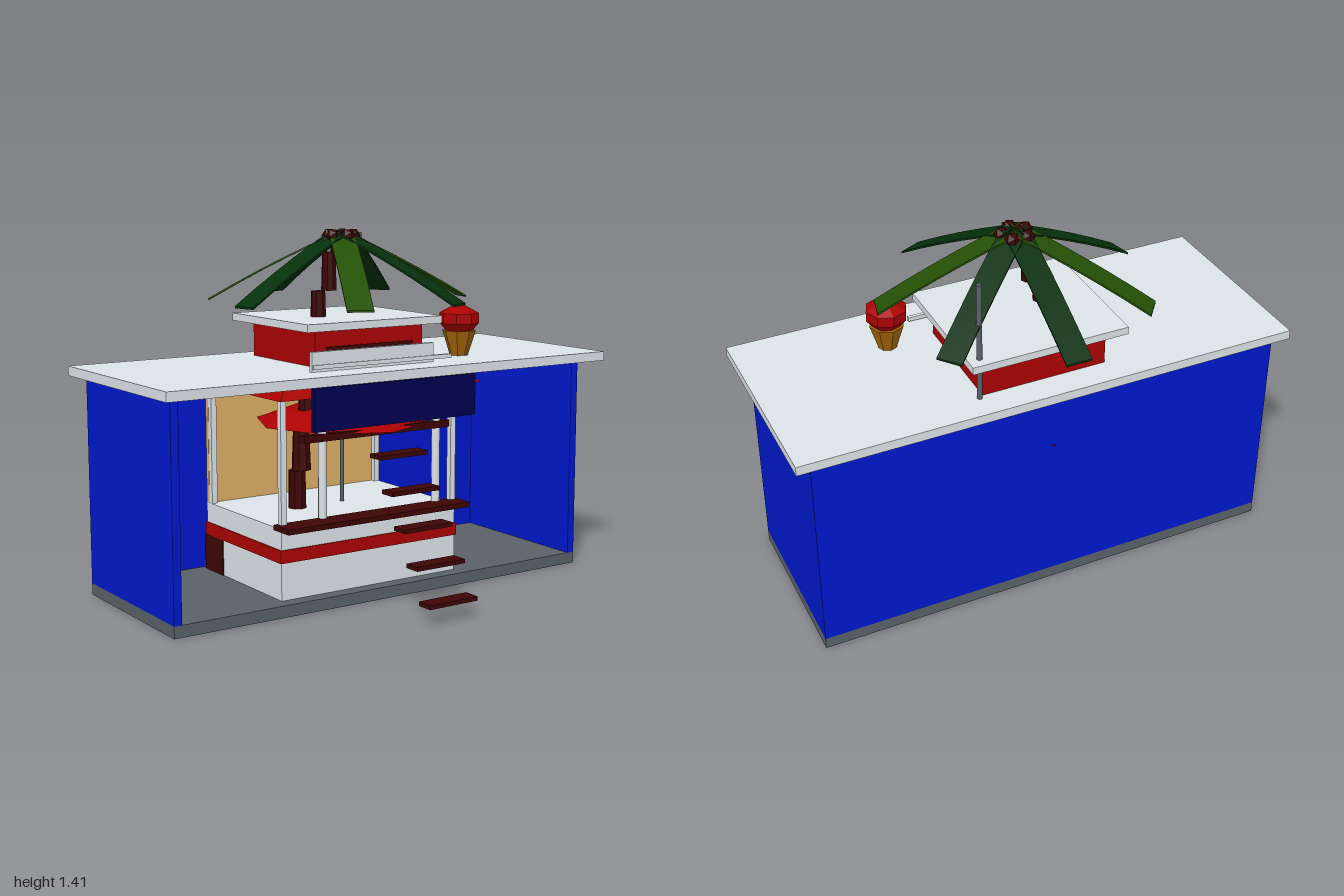
import * as THREE from 'three';

const paint = (name, color, extra = {}) =>
  Object.assign(new THREE.MeshStandardMaterial({ color, ...extra }), { name });

export function createModel() {
  const model = new THREE.Group();
  model.name = 'beachKiosk';
  const white = paint('white', 0xdde4e8);
  const blue = paint('blue', 0x0018cc);
  const grey = paint('grey', 0x596168);
  const red = paint('red', 0xac0202, { flatShading: true });
  const tan = paint('tan', 0xdcae66);
  const navy = paint('navy', 0x000050);
  const leafLight = paint('leafGreen', 0x245006);
  const leafDark = paint('deepGreen', 0x06300c);
  const waffle = paint('waffle', 0xa4660a, { flatShading: true });
  const brown = paint('darkBrown', 0x3e0505, { flatShading: true });

  const add = (name, geo, mat, x = 0, y = 0, z = 0, parent = model) => {
    const mesh = new THREE.Mesh(geo, mat);
    mesh.name = name;
    mesh.position.set(x, y, z);
    parent.add(mesh);
    return mesh;
  };
  // box given by its limits
  const box = (name, mat, x0, x1, y0, y1, z0, z1) =>
    add(name, new THREE.BoxGeometry(x1 - x0, y1 - y0, z1 - z0), mat,
      (x0 + x1) / 2, (y0 + y1) / 2, (z0 + z1) / 2);
  // upright cylinder given by bottom and top height
  const post = (name, mat, x, z, y0, y1, rTop, rBottom = rTop, sides = 8) =>
    add(name, new THREE.CylinderGeometry(rTop, rBottom, y1 - y0, sides), mat, x, (y0 + y1) / 2, z);

  // outer shell, open at the front
  box('floor', grey, -0.94, 0.94, 0, 0.046, -0.45, 0.238);
  box('backWall', blue, -0.94, 0.94, 0.046, 0.863, -0.45, -0.42);
  for (const s of [-1, 1])
    box('sideWall', blue, Math.min(s * 0.94, s * 0.908), Math.max(s * 0.94, s * 0.908), 0.046, 0.863, -0.42, 0.238);
  box('roofSlab', white, -1, 1, 0.863, 0.9, -0.48, 0.33);

  // bar counter with stripe and worktop
  box('counter', white, -0.46, 0.35, 0, 0.32, -0.39, 0.18);
  box('counterStripe', red, -0.465, 0.355, 0.19, 0.24, -0.395, 0.185);
  box('worktop', brown, -0.475, 0.37, 0.315, 0.335, 0.15, 0.255);
  box('barBack', tan, -0.46, 0.35, 0.32, 0.82, -0.39, -0.37);
  box('storageCrate', brown, -0.465, 0.465, 0.046, 0.19, -0.4, -0.26);

  // bar posts
  for (const x of [-0.447, 0.34])
    for (const z of [0.168, -0.36]) box('cornerPost', white, x - 0.012, x + 0.012, 0.32, 0.83, z - 0.012, z + 0.012);
  for (const x of [-0.265, 0.268]) post('innerPost', white, x, 0.16, 0.32, 0.83, 0.017);

  // sloping bar roof
  const eave = new THREE.CylinderGeometry(0.9 * Math.SQRT1_2, Math.SQRT1_2, 0.05, 4);
  eave.rotateY(Math.PI / 4);
  eave.scale(0.92, 1, 0.7);
  add('barRoof', eave, red, -0.05, 0.838, -0.09);
  box('awning', navy, -0.375, 0.37, 0.69, 0.852, 0.26, 0.28);
  box('lintel', brown, -0.355, 0.318, 0.632, 0.66, 0.15, 0.18);

  // parasol over the counter
  post('parasolPole', grey, 0, -0.105, 0.32, 0.78, 0.008);
  add('parasol', new THREE.ConeGeometry(0.35, 0.13, 8), red, 0, 0.715, -0.105);

  // floating stairs
  for (let i = 0; i < 5; i++) {
    const y = 0.073 + i * 0.125, z = 0.6 - i * 0.0785;
    box('step', brown, -0.11, 0.11, y - 0.008, y + 0.008, z - 0.034, z + 0.034);
  }

  // rooftop cabin
  box('cabin', red, -0.25, 0.25, 0.9, 1.045, -0.365, 0.09);
  box('cabinWindow', brown, -0.2, 0.2, 0.915, 0.975, 0.09, 0.095);
  box('cabinRoof', white, -0.315, 0.31, 1.04, 1.07, -0.42, 0.14);
  box('signBoard', white, -0.335, 0.225, 0.9, 0.975, 0.184, 0.2);
  box('signRail', white, -0.33, 0.31, 0.91, 0.926, 0.19, 0.205);
  post('mast', grey, 0.265, -0.375, 0.9, 1.378, 0.011);

  // ice cream ornament
  post('wafer', waffle, 0.44, 0.083, 0.86, 1.0, 0.068, 0.024, 8);
  const scoop = [[0, 1], [0.055, 1], [0.08, 1.03], [0.08, 1.07], [0, 1.112]];
  add('scoop', new THREE.LatheGeometry(scoop.map(([r, y]) => new THREE.Vector2(r, y)), 8), red, 0.44, 0, 0.083);

  // stepped, leaning palm trunk
  const trunk = [
    [-0.212, 0.05, 0.47], [-0.192, 0.47, 0.64], [-0.165, 0.64, 0.82],
    [-0.14, 0.82, 1.0], [-0.11, 1.0, 1.17], [-0.06, 1.17, 1.32], [-0.02, 1.3, 1.4]];
  trunk.forEach(([x, y0, y1], i) => post('trunkSection', brown, x, -0.105, y0, y1, 0.034 - i * 0.0015, 0.041 - i * 0.002));

  // seven bent fronds around the crown
  const crown = new THREE.Group();
  crown.name = 'palmCrown';
  crown.position.set(0, 0, -0.11);
  model.add(crown);
  for (let i = 0; i < 7; i++) {
    const frond = new THREE.BoxGeometry(0.1, 0.008, 0.52, 1, 1, 5);
    frond.translate(0, 0, -0.26);
    const p = frond.attributes.position;
    for (let k = 0; k < p.count; k++) {
      const t = -p.getZ(k) / 0.52;
      p.setY(k, p.getY(k) + 1.397 - 0.225 * t - 0.04 * t * t);
    }
    frond.computeVertexNormals();
    add('frond', frond, i % 2 ? leafLight : leafDark, 0, 0, 0, crown).rotation.y = i * Math.PI * 2 / 7;
  }

  // coconuts on the crown
  for (let i = 0; i < 5; i++) {
    const a = i * Math.PI * 2 / 5;
    add('coconut', new THREE.IcosahedronGeometry(0.03, 0), brown,
      Math.sin(a) * 0.05, 1.38, Math.cos(a) * 0.05, crown);
  }
  return model;
}
